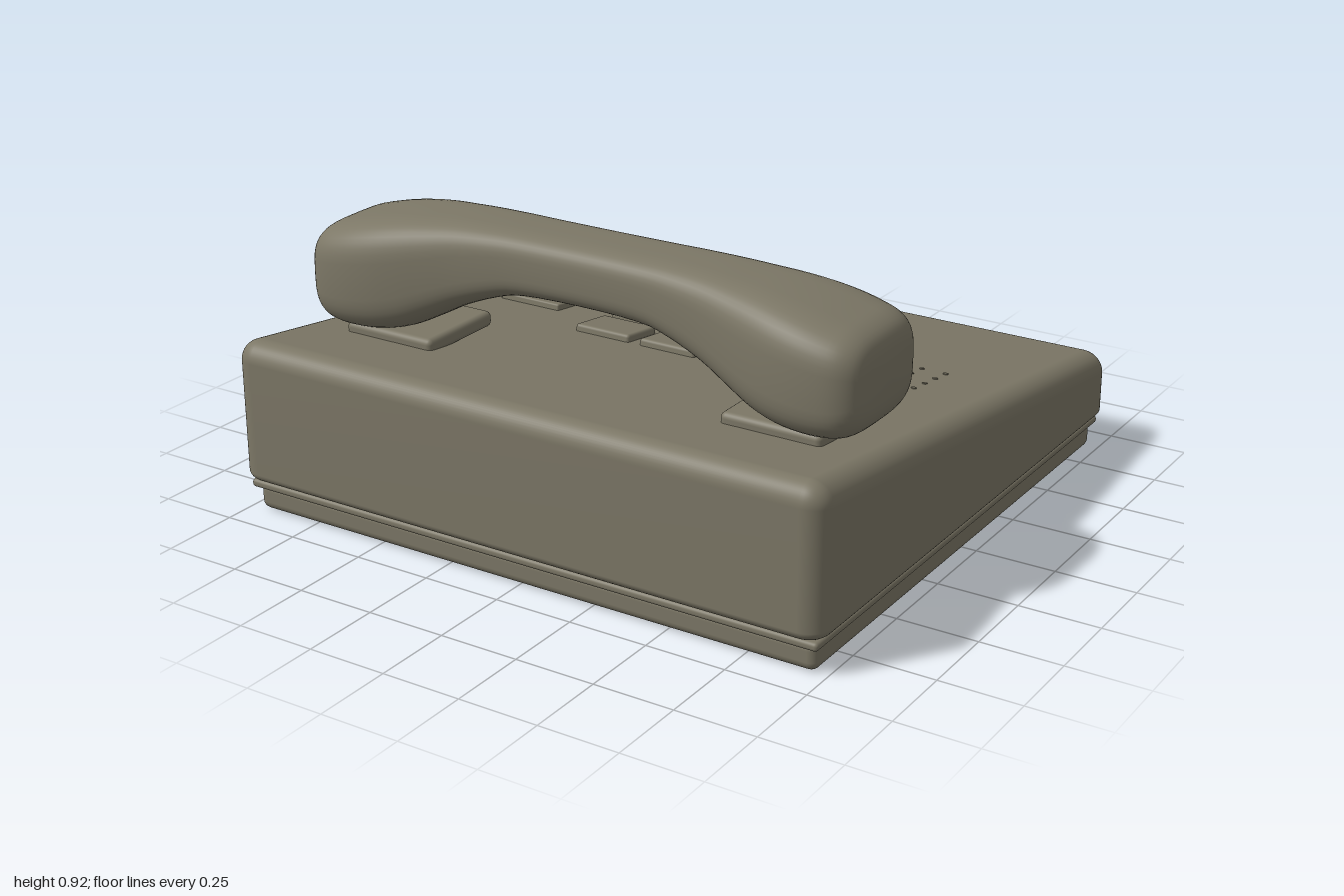
import * as THREE from 'three';
import { mergeVertices } from 'three/addons/utils/BufferGeometryUtils.js';
import { RoundedBoxGeometry } from 'three/addons/geometries/RoundedBoxGeometry.js';

const SLOPE = 0.128;                       // the top face rises towards the front
const topY = (z) => 0.44 + SLOPE * z;

export function createModel() {
  const model = new THREE.Group();
  model.name = 'deskTelephone';
  const plastic = new THREE.MeshStandardMaterial({ color: 0x7c7766 });
  plastic.name = 'olive grey plastic';

  const add = (name, geometry, x = 0, y = 0, z = 0, tilt = 0) => {
    const mesh = new THREE.Mesh(geometry, plastic);
    mesh.name = name;
    mesh.position.set(x, y, z);
    mesh.rotation.x = tilt;
    model.add(mesh);
    return mesh;
  };
  const smooth = (geometry) => {
    geometry.deleteAttribute('normal');
    geometry.deleteAttribute('uv');
    const merged = mergeVertices(geometry, 1e-5);
    merged.computeVertexNormals();
    return merged;
  };

  // Base plate and trim rim
  add('basePlate', new RoundedBoxGeometry(1.934, 0.09, 1.795, 3, 0.028), 0, 0.045, 0);
  add('baseRim', new RoundedBoxGeometry(1.96, 0.026, 1.83, 3, 0.011), 0, 0.088, 0);

  // Wedge body: rounded box with its upper half sheared along z
  const height = 0.344, radius = 0.07;
  const body = new RoundedBoxGeometry(2, height, 1.88, 6, radius);
  const p = body.attributes.position;
  for (let i = 0; i < p.count; i++) {
    const y = p.getY(i), low = -height / 2;
    if (y > 0) p.setY(i, y + SLOPE * p.getZ(i));
    else p.setY(i, low + (y - low) * 0.55);      // tighter rounding underneath
  }
  add('body', smooth(body), 0, 0.096 + height / 2, 0);

  // Keypad and function buttons, lying on the slope
  const tilt = -Math.atan(SLOPE);
  const keyGeometry = new RoundedBoxGeometry(0.197, 0.04, 0.157, 3, 0.01);
  for (const z of [-0.553, -0.355, -0.157, 0.04])
    for (const x of [-0.238, -0.002, 0.234])
      add('key', keyGeometry, x, topY(z) + 0.003, z, tilt);
  const buttonGeometry = new RoundedBoxGeometry(0.225, 0.04, 0.12, 3, 0.006);
  for (const z of [-0.57, -0.337, -0.1])
    add('functionButton', buttonGeometry, -0.627, topY(z), z, tilt);

  // Speaker grille dots
  const dotGeometry = new THREE.CylinderGeometry(0.008, 0.008, 0.006, 10);
  for (let row = 0; row < 4; row++)
    for (let col = 0; col < 4; col++) {
      const z = -0.075 - row * 0.07;
      add('speakerDot', dotGeometry, 0.5 + col * 0.08, topY(z), z, tilt);
    }

  // Cradle pads under the handset ends
  const padGeometry = new RoundedBoxGeometry(0.32, 0.05, 0.31, 3, 0.018);
  for (const side of [-1, 1]) add('cradlePad', padGeometry, side * 0.66, 0.527, 0.475);

  add('handset', smooth(handsetGeometry()), 0, 0, 0.47);
  return model;
}

// Handset: rounded-square sections lofted along x, mirrored about the middle
function handsetGeometry() {
  // x, top, bottom, half depth
  const half = [
    [0, 0.92, 0.73, 0.132], [0.2, 0.92, 0.724, 0.135], [0.3, 0.92, 0.702, 0.142],
    [0.42, 0.917, 0.655, 0.157], [0.52, 0.91, 0.602, 0.178], [0.6, 0.903, 0.562, 0.197],
    [0.68, 0.892, 0.54, 0.213], [0.76, 0.877, 0.532, 0.22], [0.83, 0.86, 0.533, 0.216],
    [0.88, 0.845, 0.543, 0.203], [0.915, 0.822, 0.568, 0.178], [0.932, 0.79, 0.605, 0.145],
    [0.938, 0.75, 0.65, 0.09], [0.94, 0.7, 0.7, 0],
  ];
  const mirrored = half.slice(1).reverse().map(([x, ...rest]) => [-x, ...rest]);
  const all = [...mirrored, ...half];
  const curve = (f) => new THREE.CatmullRomCurve3(all.map(f), false, 'catmullrom', 0.5);
  const outline = curve(([x, t, b]) => new THREE.Vector3(x, t, b));
  const depths = curve(([x, , , d]) => new THREE.Vector3(x, d, 0));

  const steps = (all.length - 1) * 3, sides = 48, positions = [], index = [];
  const bulge = (v) => Math.sign(v) * Math.pow(Math.abs(v), 2 / 3.6);
  for (let i = 0; i <= steps; i++) {
    const { x, y: top, z: bottom } = outline.getPoint(i / steps);
    const depth = depths.getPoint(i / steps).y;
    for (let j = 0; j < sides; j++) {
      const a = (j / sides) * Math.PI * 2;
      positions.push(x, (top + bottom) / 2 + ((top - bottom) / 2) * bulge(Math.sin(a)),
        depth * bulge(Math.cos(a)));
      if (i === steps) continue;
      const k = i * sides, n = (j + 1) % sides;
      index.push(k + j, k + sides + j, k + n, k + n, k + sides + j, k + sides + n);
    }
  }
  const geometry = new THREE.BufferGeometry();
  geometry.setAttribute('position', new THREE.Float32BufferAttribute(positions, 3));
  geometry.setIndex(index);
  return geometry;
}
